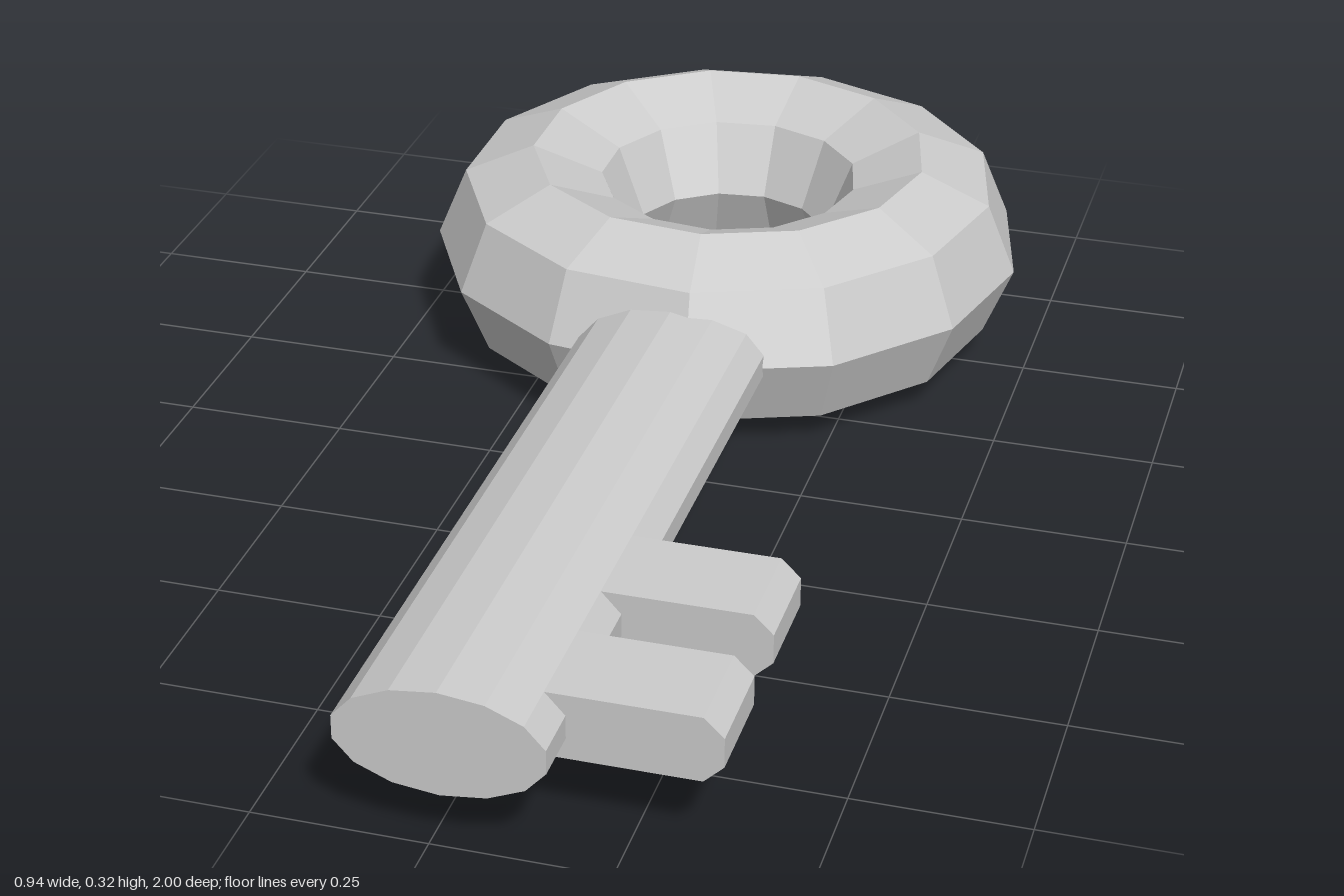
import * as THREE from 'three';

const MID_Y = 0.158; // height of the key's centre plane

export function createModel() {
  const key = new THREE.Group();
  key.name = 'key';
  const material = new THREE.MeshStandardMaterial({ color: 0xcccccc, flatShading: true });

  const add = (name, geometry, x, y, z) => {
    const mesh = new THREE.Mesh(geometry, material);
    mesh.name = name;
    mesh.position.set(x, y, z);
    key.add(mesh);
  };

  // Ring-shaped bow lying flat
  const bow = new THREE.TorusGeometry(0.32, 0.158, 8, 13).rotateX(-Math.PI / 2);
  add('bow', bow, -0.007, MID_Y, -0.527);

  // Flattened shaft, its back end buried in the bow
  const back = -0.2, front = 1;
  const shaft = new THREE.CylinderGeometry(1, 1, front - back, 14)
    .rotateX(Math.PI / 2)
    .scale(0.149, 0.079, 1);
  add('shaft', shaft, 0.017, 0.159, (front + back) / 2);

  // Two teeth with bevelled outer ends
  const profile = new THREE.Shape([
    [0.08, -0.049], [0.346, -0.049], [0.374, -0.022],
    [0.374, 0.022], [0.346, 0.049], [0.08, 0.049],
  ].map(([x, y]) => new THREE.Vector2(x, y)));
  const tooth = new THREE.ExtrudeGeometry(profile, { depth: 0.15, bevelEnabled: false });
  [0.515, 0.767].forEach((z, i) => add(`tooth${i + 1}`, tooth, 0, 0.159, z));

  return key;
}
